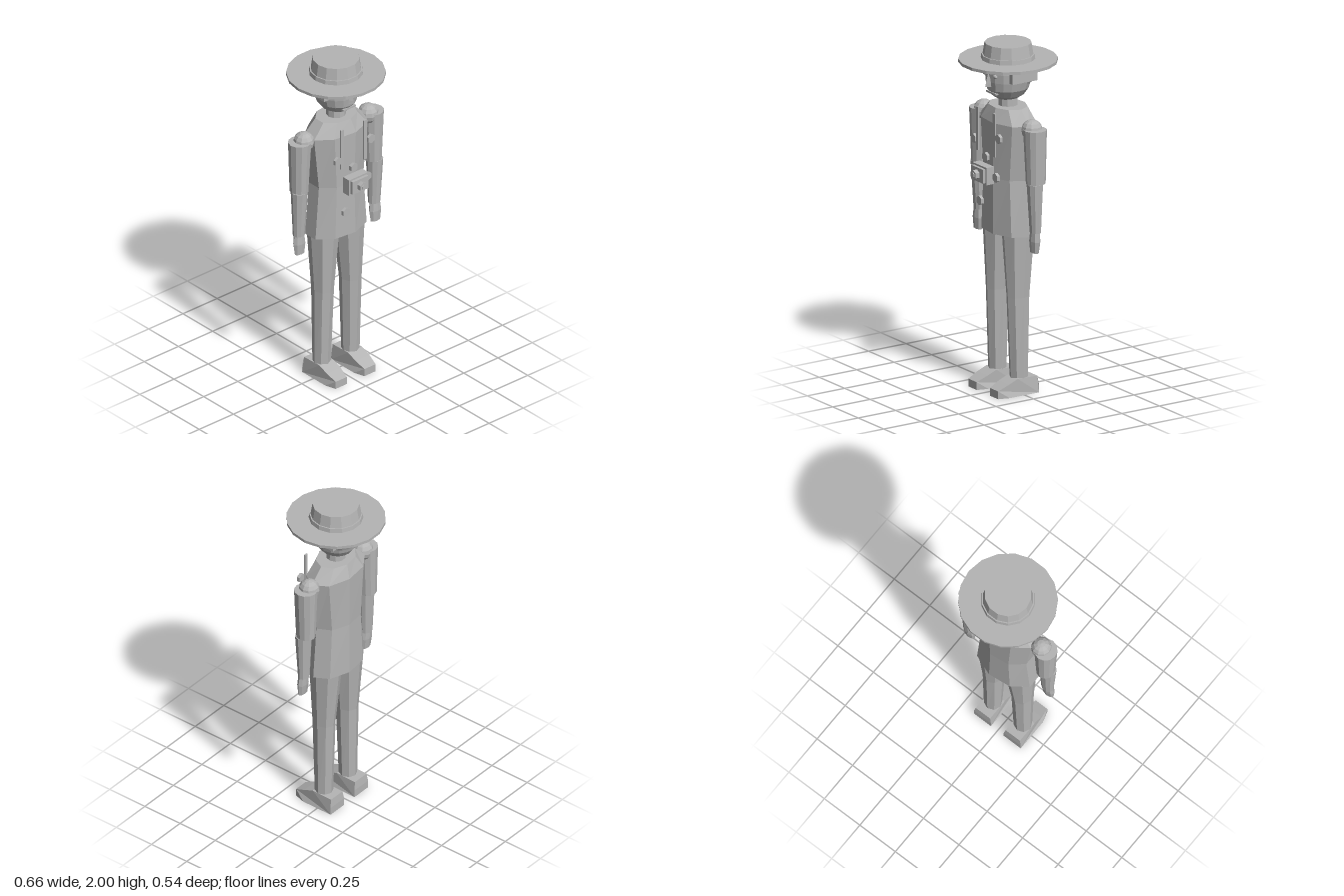
import * as THREE from 'three';

const grey = new THREE.MeshStandardMaterial({ color: 0xb4b4b4, flatShading: true });
grey.name = 'plain grey';

// Closed skin over n-sided elliptical sections [y, cx, cz, rx, rz], listed upwards
function loft(sections, n) {
  const rings = sections.map(([y, cx, cz, rx, rz = rx]) =>
    Array.from({ length: n }, (_, i) => {
      const a = (i / n) * Math.PI * 2;
      return [cx + rx * Math.cos(a), y, cz + rz * Math.sin(a)];
    }));
  const pos = [];
  const tri = (...pts) => pts.forEach((p) => pos.push(...p));
  const centre = ([y, cx, cz]) => [cx, y, cz];
  const last = rings.length - 1;
  for (let i = 0; i < n; i++) {
    const j = (i + 1) % n;
    for (let k = 0; k < last; k++) {
      tri(rings[k][j], rings[k][i], rings[k + 1][i]);
      tri(rings[k][j], rings[k + 1][i], rings[k + 1][j]);
    }
    tri(centre(sections[0]), rings[0][i], rings[0][j]);
    tri(centre(sections[last]), rings[last][j], rings[last][i]);
  }
  const g = new THREE.BufferGeometry();
  g.setAttribute('position', new THREE.Float32BufferAttribute(pos, 3));
  g.computeVertexNormals();
  return g;
}

// Shoe: side profile extruded across, then narrowed at the toe and instep
function shoeGeometry() {
  const width = 0.12;
  const profile = [[-0.095, 0], [0.1, 0], [0.165, 0], [0.165, 0.045], [0.1, 0.074],
    [0.04, 0.098], [-0.09, 0.095], [-0.095, 0.045]];
  const shape = new THREE.Shape(profile.map(([z, y]) => new THREE.Vector2(z, y)));
  const g = new THREE.ExtrudeGeometry(shape, { depth: width, bevelEnabled: false });
  g.translate(0, 0, -width / 2).rotateY(-Math.PI / 2);
  const p = g.attributes.position;
  for (let i = 0; i < p.count; i++) {
    const toe = p.getZ(i) > 0.13 ? 0.68 : 1;
    const top = p.getY(i) > 0.06 ? 0.84 : 1;
    p.setX(i, p.getX(i) * toe * top);
  }
  g.computeVertexNormals();
  return g;
}

export function createModel() {
  const model = new THREE.Group();
  const add = (name, geometry, x = 0, y = 0, z = 0) => {
    const mesh = new THREE.Mesh(geometry, grey);
    mesh.name = name;
    mesh.position.set(x, y, z);
    model.add(mesh);
    return mesh;
  };
  const box = (name, w, h, d, x, y, z) => add(name, new THREE.BoxGeometry(w, h, d), x, y, z);

  // Torso and neck
  add('jacket', loft([
    [0.92, 0, 0, 0.2, 0.127], [1.24, 0, 0, 0.172, 0.122],
    [1.56, 0, 0, 0.21, 0.127], [1.64, 0, 0, 0.13, 0.1],
  ], 9));
  add('neck', loft([[1.62, 0, 0, 0.056], [1.71, 0, 0, 0.053]], 10));

  // Head and face
  add('head', loft([
    [1.68, 0, 0, 0.05, 0.06], [1.7, 0, 0, 0.082, 0.092], [1.74, 0, 0, 0.11, 0.12],
    [1.79, 0, -0.003, 0.123, 0.131], [1.84, 0, -0.005, 0.128, 0.136], [1.9, 0, -0.003, 0.122, 0.13],
  ], 16));
  add('hair', loft([
    [1.77, 0, -0.03, 0.108, 0.105], [1.8, 0, -0.03, 0.125, 0.116], [1.9, 0, -0.03, 0.127, 0.118],
  ], 16));
  add('nose', loft([[1.765, 0, 0.128, 0.02, 0.024], [1.785, 0, 0.128, 0.018, 0.02],
    [1.845, 0, 0.122, 0.008, 0.01]], 4));
  box('mouth', 0.09, 0.01, 0.02, 0, 1.724, 0.105);

  // Hat
  add('hatBrim', loft([[1.89, 0, 0, 0.276], [1.907, 0, 0, 0.276]], 18));
  add('hatBand', loft([[1.9, 0, 0, 0.152], [1.932, 0, 0, 0.148]], 14));
  add('hatCrown', loft([[1.9, 0, 0, 0.146], [2, 0, 0, 0.13]], 14));

  for (const s of [1, -1]) {
    const side = s > 0 ? 'left' : 'right';
    box(side + 'Ear', 0.03, 0.105, 0.165, s * 0.13, 1.85, -0.015);
    add(side + 'Eye', new THREE.SphereGeometry(0.018, 8, 6), s * 0.05, 1.829, 0.12).scale.set(1, 0.65, 0.6);
    box(side + 'Brow', 0.05, 0.008, 0.014, s * 0.05, 1.868, 0.124).rotation.z = -s * 0.1;

    // Arm
    add(side + 'Shoulder', new THREE.SphereGeometry(0.06, 10, 8), s * 0.235, 1.55, 0);
    add(side + 'UpperArm', loft([[1.25, s * 0.268, -0.003, 0.052, 0.056],
      [1.56, s * 0.265, 0, 0.066, 0.066]], 12));
    add(side + 'Forearm', loft([[0.97, s * 0.275, 0.005, 0.037, 0.03],
      [1.25, s * 0.275, 0.008, 0.049, 0.047]], 10));
    add(side + 'Hand', loft([[0.855, s * 0.277, 0.012, 0.034, 0.018],
      [0.92, s * 0.277, 0.01, 0.041, 0.025], [0.97, s * 0.277, 0.008, 0.034, 0.024]], 8));

    // Leg
    add(side + 'Leg', loft([[0.08, s * 0.105, 0, 0.051, 0.051],
      [0.56, s * 0.101, 0.003, 0.06, 0.067], [0.93, s * 0.093, -0.003, 0.088, 0.094]], 8));
    add(side + 'Shoe', shoeGeometry(), s * 0.105, 0, 0);

    box(side + 'Strap', 0.021, 0.25, 0.009, s * 0.083, 1.505, 0.147);
  }

  // Camera box with a stepped front and lens
  box('cameraBody', 0.14, 0.1, 0.05, 0, 1.27, 0.165);
  box('cameraFront', 0.115, 0.08, 0.018, 0, 1.27, 0.198);
  const disc = (name, r, depth, x, y, z) =>
    add(name, new THREE.CylinderGeometry(r, r, depth, 6).rotateX(Math.PI / 2), x, y, z);
  disc('lens', 0.028, 0.03, 0, 1.27, 0.218);
  disc('lensTip', 0.016, 0.008, 0, 1.27, 0.235);

  // Scattered jacket buttons
  [[-0.116, 1.44], [0.127, 1.495], [0, 1.36], [0.1, 1.265], [-0.058, 1.095]]
    .forEach(([x, y]) => disc('button', 0.027, 0.018, x, y, 0.147));

  return model;
}
